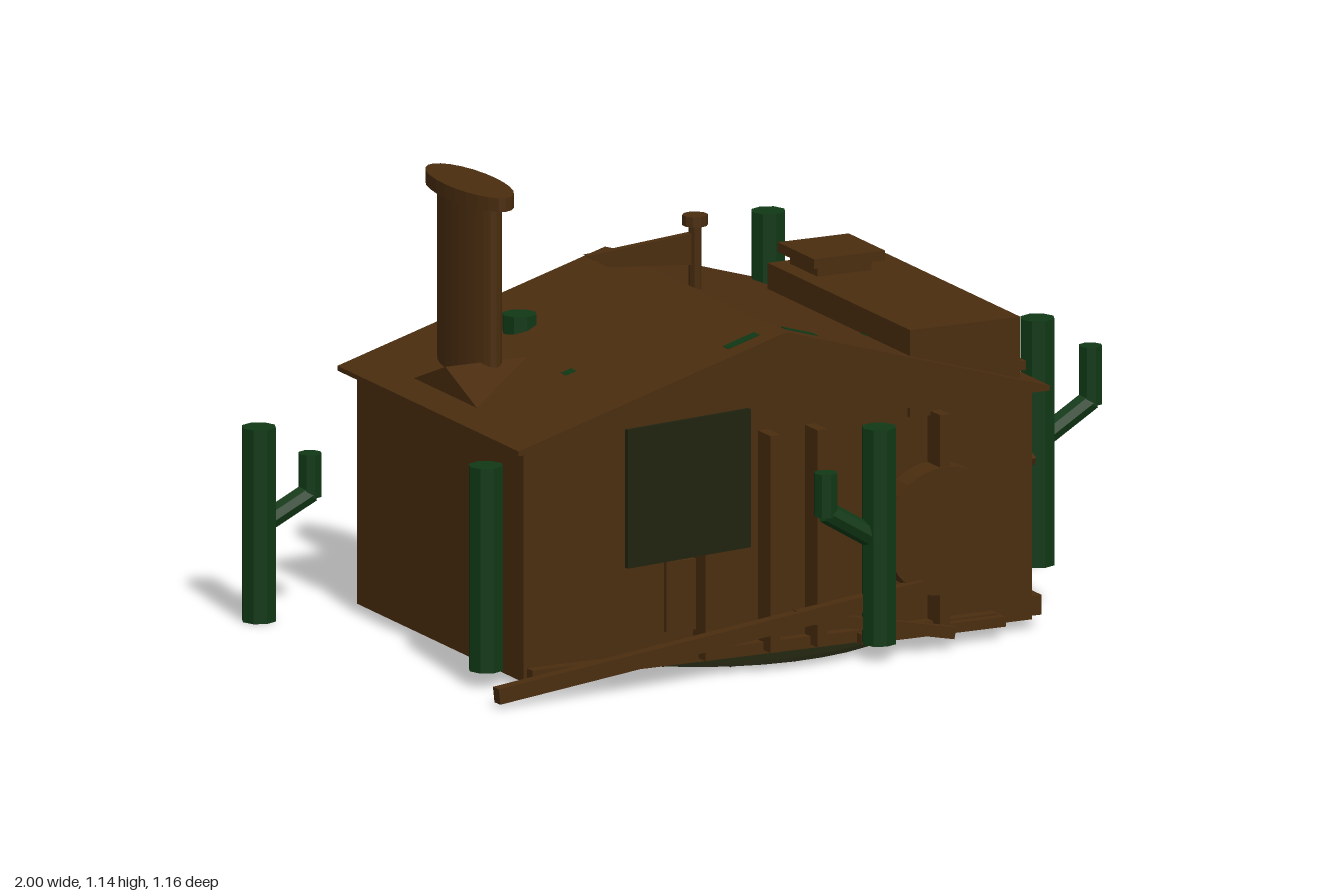
import * as THREE from 'three';

export function createModel() {
  const model = new THREE.Group();
  const mat = (name, color, double) => {
    const m = new THREE.MeshStandardMaterial({ color });
    m.name = name;
    m.flatShading = true;
    if (double) m.side = THREE.DoubleSide;
    return m;
  };
  const wood = mat('wood', 0x4a2d0f);
  const green = mat('cactusGreen', 0x103815);
  const dark = mat('darkOlive', 0x20220f, true);

  const add = (name, geo, material, parent = model) => {
    const mesh = new THREE.Mesh(geo, material);
    mesh.name = name;
    parent.add(mesh);
    return mesh;
  };
  // Box given by its extents on each axis
  const box = (name, x0, x1, y0, y1, z0, z1, m = wood) => {
    const b = add(name, new THREE.BoxGeometry(x1 - x0, y1 - y0, z1 - z0), m);
    b.position.set((x0 + x1) / 2, (y0 + y1) / 2, (z0 + z1) / 2);
    return b;
  };
  // Beam running from a to b
  const beam = (name, a, b, w, h, m = wood) => {
    const p = new THREE.Vector3(...a), q = new THREE.Vector3(...b);
    const mesh = add(name, new THREE.BoxGeometry(w, h, p.distanceTo(q)), m);
    mesh.position.copy(p).lerp(q, 0.5);
    mesh.lookAt(q);
    return mesh;
  };
  // Solid profile extruded along z
  const prism = (points, depth) => new THREE.ExtrudeGeometry(
    new THREE.Shape(points.map(p => new THREE.Vector2(...p))), { depth, bevelEnabled: false });

  // Walls
  box('walls', -0.71, 0.7, 0.025, 0.62, -0.46, 0.44);

  // Main gable roof with its ridge along z
  const roof = add('mainRoof', prism(
    [[-0.742, 0.612], [0.732, 0.612], [0.732, 0.624], [0, 0.843], [-0.742, 0.624]], 0.982), wood);
  roof.position.z = -0.505;

  // Cross gable with its ridge along x
  const cross = add('crossGable', prism(
    [[-0.38, 0.53], [0.5, 0.53], [0.5, 0.54], [0.06, 0.712], [-0.38, 0.54]], 1.395), wood);
  cross.rotation.y = Math.PI / 2;
  cross.position.x = -0.67;

  // Rooftop box and hatch
  box('roofBox', 0.355, 0.66, 0.58, 0.803, -0.318, 0.455);
  box('hatchBase', 0.4, 0.55, 0.8, 0.832, -0.285, -0.135);
  box('hatchLid', 0.378, 0.575, 0.83, 0.855, -0.308, -0.112);

  // Oval chimney with a wider cap
  const oval = (name, rx, rz, y0, y1) => {
    const c = add(name, new THREE.CylinderGeometry(1, 1, y1 - y0, 24), wood);
    c.scale.set(rx, 1, rz);
    c.position.set(-0.543, (y0 + y1) / 2, -0.177);
  };
  oval('chimney', 0.052, 0.145, 0.6, 1.12);
  oval('chimneyCap', 0.07, 0.198, 1.11, 1.145);

  // Flagpole with a pointed board
  const pole = add('pole', new THREE.CylinderGeometry(0.014, 0.014, 0.22, 8), wood);
  pole.position.set(0.022, 0.9, -0.06);
  pole.scale.z = 1.7;
  const knob = add('poleCap', new THREE.CylinderGeometry(0.032, 0.032, 0.026, 10), wood);
  knob.position.set(0.022, 1.008, -0.06);
  const flag = add('pennant', prism(
    [[0.015, 0.895], [0.015, 0.975], [-0.28, 0.95], [-0.22, 0.915]], 0.02), wood);
  flag.position.z = -0.075;

  // Round barrel lid on the front wall
  const lid = add('frontBarrel', new THREE.CylinderGeometry(0.164, 0.164, 0.08, 28), wood);
  lid.rotation.x = Math.PI / 2;
  lid.position.set(0.425, 0.296, 0.47);

  // Dark board hung on the front
  beam('frontBoard', [-0.49, 0.495, 0.57], [-0.12, 0.495, 0.512], 0.012, 0.352, dark);

  // Wall posts, rails and shutters
  for (const x of [-0.545, -0.22, 0.1, 0.42]) {
    box('backPost', x - 0.015, x + 0.015, 0.04, 0.592, -0.53, -0.45);
  }
  for (const x of [-0.225, -0.045, 0.085, 0.425]) {
    box('frontPost', x - 0.014, x + 0.014, 0.04, 0.592, 0.43, 0.507);
  }
  box('backRail', -0.69, 0.68, 0.525, 0.55, -0.49, -0.45);
  box('frontSill', -0.7, 0.59, 0.03, 0.06, 0.43, 0.47);
  for (const x of [-0.29, 0.02, 0.3]) {
    box('backShutter', x - 0.07, x + 0.07, 0.26, 0.49, -0.495, -0.45);
  }
  box('frontShutter', -0.32, -0.23, 0.11, 0.29, 0.43, 0.455);
  box('frontRightStep', 0.2, 0.6, 0.03, 0.055, 0.43, 0.495);
  box('backStep', -0.17, 0.215, 0.04, 0.065, -0.555, -0.45);

  // Loose planks
  beam('frontPlank', [-0.84, 0.03, 0.55], [0.36, 0.16, 0.51], 0.03, 0.04);
  beam('lowFrontPlank', [0.0, 0.13, 0.515], [0.44, 0.04, 0.525], 0.02, 0.03);
  beam('sidePlank', [0.74, 0.135, -0.24], [0.885, 0.255, 0.16], 0.025, 0.04);
  beam('backPlank', [0.51, 0.06, -0.46], [0.555, 0.03, -0.575], 0.035, 0.035);
  beam('wallSlat', [0.708, 0.32, -0.165], [0.708, 0.385, -0.515], 0.025, 0.02);
  beam('shortSlat', [0.708, 0.42, 0.42], [0.708, 0.48, 0.28], 0.025, 0.02);

  // Blocks on the left wall
  box('sideFootFront', 0.69, 0.735, 0.03, 0.08, 0.205, 0.425);
  box('sideFootBack', 0.69, 0.735, 0.04, 0.066, -0.5, -0.175);
  box('sideBlock', 0.69, 0.722, 0.486, 0.515, 0.305, 0.365);
  box('upperBlock', 0.69, 0.722, 0.64, 0.664, 0.305, 0.365);
  box('cornerBlock', 0.66, 0.725, 0.05, 0.115, -0.5, -0.45);

  // Cacti: trunk plus an optional elbow arm
  const stem = (name, a, b, r, group) => {
    const p = new THREE.Vector3(...a), q = new THREE.Vector3(...b);
    const m = add(name, new THREE.CylinderGeometry(r, r, p.distanceTo(q), 8), green, group);
    m.position.copy(p).lerp(q, 0.5);
    m.quaternion.setFromUnitVectors(new THREE.Vector3(0, 1, 0), q.sub(p).normalize());
  };
  const cactus = (x, z, y0, y1, arm) => {
    const g = new THREE.Group();
    g.name = 'cactus';
    model.add(g);
    stem('cactusTrunk', [x, y0, z], [x, y1, z], 0.044, g);
    if (!arm) return;
    const [ax, from, elbow, top] = arm;
    stem('cactusElbow', [x, from, z], [ax, elbow, z], 0.028, g);
    stem('cactusArm', [ax, elbow - 0.01, z], [ax, top, z], 0.03, g);
  };
  cactus(-0.957, -0.51, 0, 0.493, [-0.815, 0.24, 0.31, 0.41]);
  cactus(-0.76, 0.335, 0.04, 0.56);
  cactus(0.228, 0.535, 0.04, 0.59, [0.08, 0.3, 0.39, 0.49]);
  cactus(0.818, 0.24, 0.108, 0.735, [0.965, 0.42, 0.51, 0.648]);
  cactus(0.423, -0.447, 0.54, 0.9);
  cactus(-0.365, -0.255, 0.62, 0.77);

  // Ground disc with rings of small spikes beneath
  const disc = add('groundDisc', new THREE.CylinderGeometry(0.52, 0.52, 0.01, 40), dark);
  disc.position.y = 0.02;
  const spikeGeo = new THREE.ConeGeometry(0.018, 0.014, 5);
  for (const [r, n] of [[0.15, 5], [0.33, 11], [0.48, 18]]) {
    for (let i = 0; i < n; i++) {
      const t = (i / n) * Math.PI * 2 + r;
      const s = add('spike', spikeGeo, dark);
      s.rotation.x = Math.PI;
      s.position.set(r * Math.cos(t), 0.0095, r * Math.sin(t));
    }
  }

  // Mossy patches on the left wall and roof
  for (const [z, y] of [[0.085, 0.35], [0.0, 0.23], [-0.31, 0.2], [-0.16, 0.37], [0.355, 0.39]]) {
    box('wallMoss', 0.699, 0.702, y - 0.012, y + 0.012, z - 0.02, z + 0.02, green);
  }
  for (const [x, z, w] of [[-0.09, 0.41, 0.09], [0.07, 0.41, 0.09], [0.37, 0.21, 0.04], [-0.43, 0.14, 0.03]]) {
    const patch = add('roofMoss', new THREE.BoxGeometry(w, 0.004, 0.03), green);
    const slope = 0.219 / 0.735;
    patch.position.set(x, 0.843 - Math.abs(x) * slope, z);
    patch.rotation.z = -Math.sign(x) * Math.atan(slope);
  }
  return model;
}
